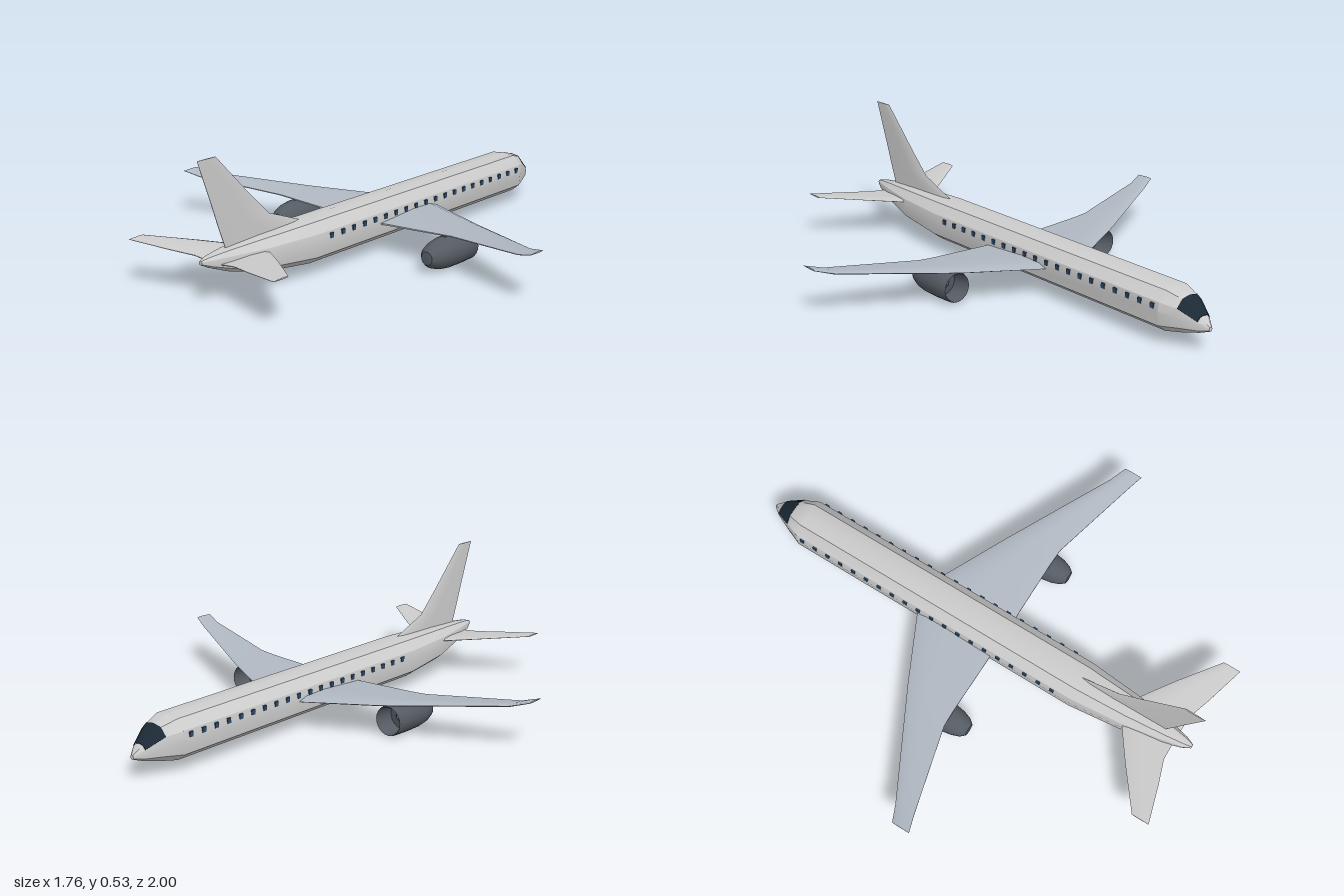
import * as THREE from 'three';
import { toCreasedNormals } from 'three/addons/utils/BufferGeometryUtils.js';

const grey = new THREE.MeshStandardMaterial({ color: 0xcccccc });
const wingGrey = new THREE.MeshStandardMaterial({ color: 0xb0b8c2 });
const engineGrey = new THREE.MeshStandardMaterial({ color: 0x555b63, side: THREE.DoubleSide });
const windowBlue = new THREE.MeshStandardMaterial({ color: 0x2c4a6c });
const glass = new THREE.MeshStandardMaterial({ color: 0x1c2a36 });

// Skin closed rings of [x, y, z] points, cap both ends and face outward.
function loft(rings, crease = 0.4) {
  const n = rings[0].length, pos = rings.flat(2), idx = [];
  rings.slice(1).forEach((_, i) => {
    for (let j = 0; j < n; j++) {
      const a = i * n + j, b = i * n + (j + 1) % n;
      idx.push(a, b, b + n, a, b + n, a + n);
    }
  });
  const last = (rings.length - 1) * n;
  for (let j = 1; j < n - 1; j++) idx.push(0, j + 1, j, last, last + j, last + j + 1);
  let volume = 0;
  const p = (k) => new THREE.Vector3().fromArray(pos, k * 3);
  for (let k = 0; k < idx.length; k += 3) volume += p(idx[k]).dot(p(idx[k + 1]).cross(p(idx[k + 2])));
  if (volume < 0) idx.reverse();
  const g = new THREE.BufferGeometry();
  g.setAttribute('position', new THREE.Float32BufferAttribute(pos, 3));
  g.setIndex(idx);
  return toCreasedNormals(g, crease);
}

// Half of the fuselage section, top to bottom, in unit half-width / half-height.
const half = [[0, 1], [0.55, 0.9], [0.92, 0.47], [1, 0.06], [0.93, -0.59], [0.52, -0.94], [0, -1]];
const section = [...half, ...half.slice(1, -1).reverse().map(([u, v]) => [-u, v])];
const place = (pts, [z, w, top, bottom], out = 0) => pts.map(([u, v]) =>
  [u * (w + out), (top + bottom) / 2 + v * (top - bottom) / 2 + out, z]);

// Stations: z, half-width, top, bottom.
const noseLow = [-0.965, 0.034, 0.133, 0.07], noseHigh = [-0.895, 0.068, 0.19, 0.052];
const stations = [
  [-1, 0.008, 0.1, 0.083], noseLow, noseHigh, [-0.83, 0.096, 0.21, 0.04],
  [0.48, 0.096, 0.21, 0.042], [0.7, 0.075, 0.204, 0.066], [0.87, 0.044, 0.194, 0.11],
  [0.95, 0.024, 0.185, 0.142], [0.985, 0.008, 0.176, 0.16],
];

// Wing-like surface from stations: x, leading z, trailing z, y, thickness.
const foil = [[0, 0], [0.12, 0.42], [0.42, 0.5], [1, 0.1], [1, -0.1], [0.42, -0.5], [0.12, -0.42]];
const wingLoft = (rows, side) => loft(rows.map(([x, z0, z1, y, t]) =>
  foil.map(([c, h]) => [side * x, y + h * t, z0 + c * (z1 - z0)])), 0.5);

const wingRows = [
  [0.03, -0.267, 0.115, 0.12, 0.034], [0.37, -0.1, 0.115, 0.137, 0.022],
  [0.44, -0.063, 0.118, 0.142, 0.019], [0.81, 0.133, 0.218, 0.175, 0.012], [0.88, 0.165, 0.242, 0.194, 0.006],
];
const stabilizerRows = [
  [0.01, 0.67, 0.915, 0.148, 0.018], [0.1, 0.73, 0.917, 0.157, 0.014],
  [0.2, 0.8, 0.95, 0.167, 0.01], [0.362, 0.922, 0.996, 0.183, 0.006],
];

export function createModel() {
  const model = new THREE.Group();
  const add = (name, geometry, material, parent = model) => {
    const mesh = new THREE.Mesh(geometry, material);
    mesh.name = name;
    parent.add(mesh);
    return mesh;
  };

  add('fuselage', loft(stations.map((s) => place(section, s))), grey);

  // Windshield wraps over the top of the nose
  const arc = [...half.slice(0, 3).reverse().map(([u, v]) => [-u, v]), ...half.slice(1, 3)];
  add('windshield', loft([noseLow, noseHigh].map((s) =>
    [...place(arc, s, 0.002), ...place(arc, s, -0.004).reverse()])), glass);

  // Tail fin, swept with a low dorsal fillet; rows: y, leading z, trailing z, thickness
  const finRows = [
    [0.18, 0.36, 0.86, 0.016], [0.21, 0.48, 0.87, 0.014], [0.272, 0.64, 0.893, 0.012],
    [0.36, 0.73, 0.923, 0.01], [0.535, 0.898, 0.986, 0.005],
  ];
  add('tailFin', loft(finRows.map(([y, z0, z1, t]) =>
    foil.map(([c, h]) => [h * t, y, z0 + c * (z1 - z0)])), 0.5), grey);

  // Engine: spinner, intake, lip, cowl and rounded tail
  const profile = [[0, 0], [0.02, 0.025], [0.05, 0.03], [0.054, -0.045], [0.058, -0.05], [0.06, -0.045],
    [0.062, 0.03], [0.061, 0.1], [0.054, 0.145], [0.042, 0.178], [0.026, 0.197], [0, 0.2]];
  const engineGeometry = toCreasedNormals(new THREE.LatheGeometry(
    profile.map(([r, z]) => new THREE.Vector2(r, z)), 24).rotateX(Math.PI / 2), 0.7);

  for (const side of [1, -1]) {
    const label = side > 0 ? 'left' : 'right';
    add(label + 'Wing', wingLoft(wingRows, side), wingGrey);
    add(label + 'Stabilizer', wingLoft(stabilizerRows, side), grey);

    const engine = new THREE.Group();
    engine.name = label + 'Engine';
    engine.position.set(side * 0.385, 0.064, 0);
    add('cowl', engineGeometry, engineGrey, engine);
    add('pylon', new THREE.BoxGeometry(0.014, 0.03, 0.13), engineGrey, engine).position.set(0, 0.062, 0.03);
    model.add(engine);

    // Cabin windows
    const windows = new THREE.Group();
    windows.name = label + 'Windows';
    for (let i = 0; i < 20; i++) {
      add('window', new THREE.BoxGeometry(0.008, 0.02, 0.017), windowBlue, windows)
        .position.set(side * 0.0925, 0.147, 0.4 - i * 0.0632);
    }
    model.add(windows);
  }
  return model;
}
